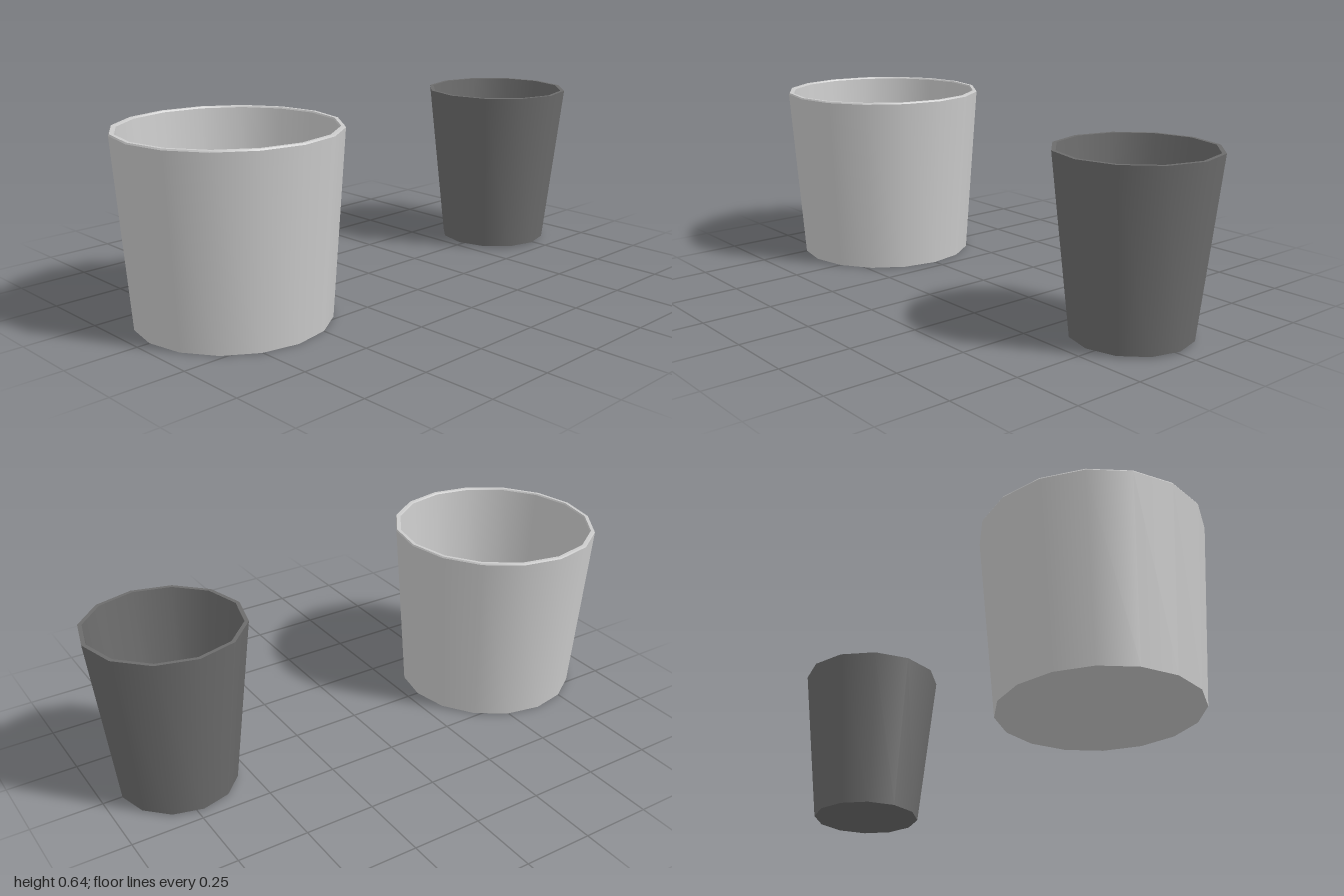
import * as THREE from 'three';
import { mergeGeometries } from 'three/addons/utils/BufferGeometryUtils.js';

// Hollow cup: each profile span is its own lathe, smooth around and sharp between spans
function cup(name, profile, sides, color) {
  const points = profile.map(([r, y]) => new THREE.Vector2(r, y));
  const spans = points.slice(1).map((p, i) => new THREE.LatheGeometry([points[i], p], sides));
  const mesh = new THREE.Mesh(mergeGeometries(spans), new THREE.MeshStandardMaterial({ color }));
  mesh.name = name;
  return mesh;
}

export function createModel() {
  const group = new THREE.Group();
  group.name = 'cups';

  // Wide cup with a thin bevelled rim: underside, wall, rim, inner wall, floor
  const largeCup = cup('largeCup', [
    [0, 0], [0.33, 0], [0.375, 0.64], [0.372, 0.645],
    [0.36, 0.645], [0.357, 0.64], [0.304, 0.02], [0, 0.02],
  ], 16, 0xcccccc);
  largeCup.position.x = -0.625;

  // Narrow dark cup
  const smallCup = cup('smallCup', [
    [0, 0.005], [0.205, 0.005], [0.272, 0.612],
    [0.258, 0.612], [0.19, 0.02], [0, 0.02],
  ], 12, 0x6c6c6c);
  smallCup.position.set(0.728, 0, -0.008);

  group.add(largeCup, smallCup);
  return group;
}
